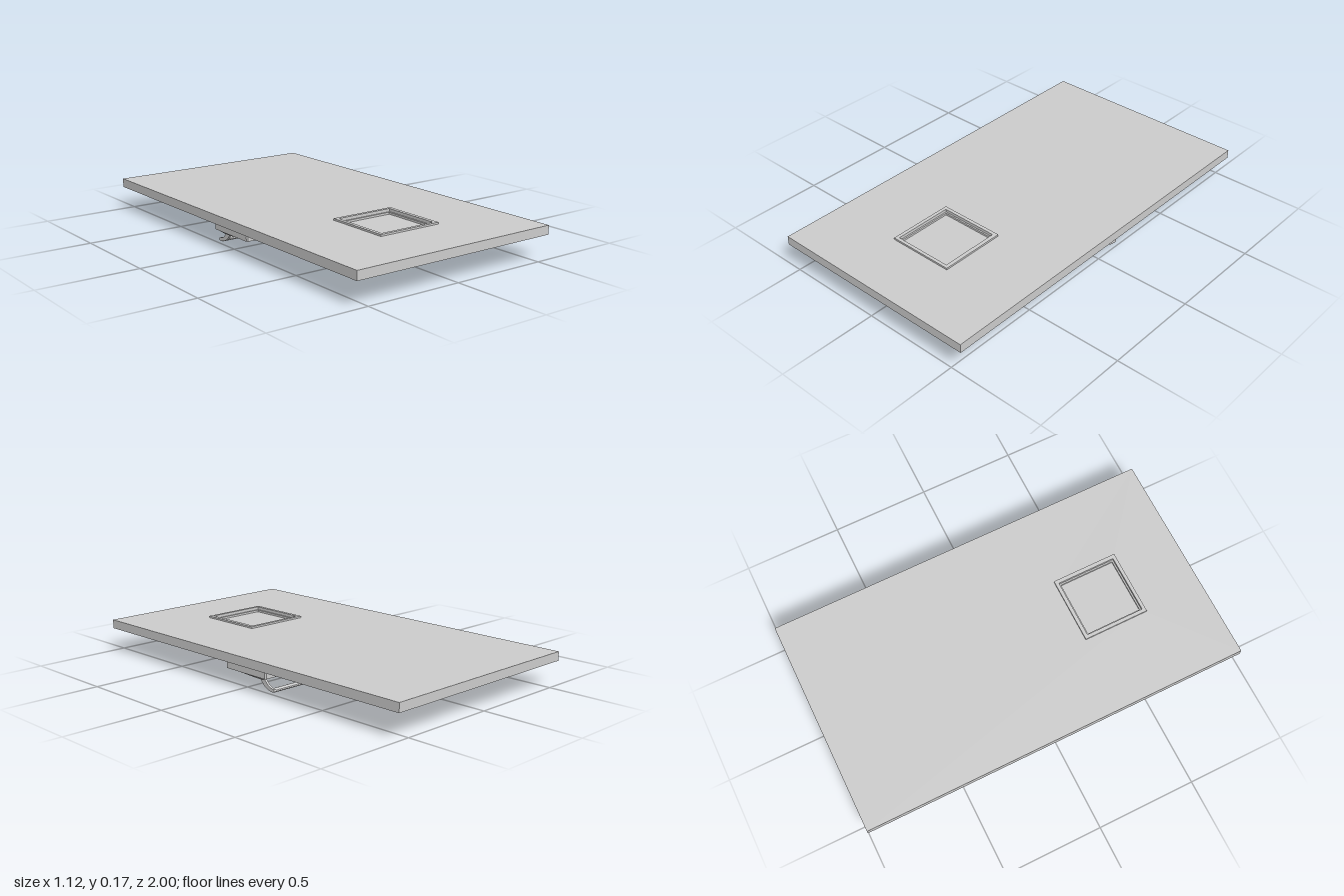
import * as THREE from 'three';

const material = new THREE.MeshStandardMaterial({ color: 0xcccccc, flatShading: true });

function addMesh(parent, geometry, name) {
  const mesh = new THREE.Mesh(geometry, material);
  mesh.name = name;
  parent.add(mesh);
  return mesh;
}

// Rectangle in plan, with optional cut corners
function rectPoints(x0, x1, z0, z1, c = 0) {
  const p = c
    ? [[x0 + c, z0], [x1 - c, z0], [x1, z0 + c], [x1, z1 - c], [x1 - c, z1], [x0 + c, z1], [x0, z1 - c], [x0, z0 + c]]
    : [[x0, z0], [x1, z0], [x1, z1], [x0, z1]];
  return p.map(([x, z]) => new THREE.Vector2(x, z));
}

// Plan shape extruded downwards from yTop to yBottom
function slab(points, hole, yTop, yBottom) {
  const shape = new THREE.Shape(points);
  if (hole) shape.holes.push(new THREE.Path(hole));
  return new THREE.ExtrudeGeometry(shape, { depth: yTop - yBottom, bevelEnabled: false })
    .rotateX(Math.PI / 2).translate(0, yTop, 0);
}

// Block whose lower face is a smaller rectangle
function taperedBlock(top, bottom, yTop, yBottom) {
  const g = new THREE.BoxGeometry(1, 1, 1);
  const p = g.attributes.position;
  for (let i = 0; i < p.count; i++) {
    const up = p.getY(i) > 0;
    const [x0, x1, z0, z1] = up ? top : bottom;
    p.setXYZ(i, p.getX(i) > 0 ? x1 : x0, up ? yTop : yBottom, p.getZ(i) > 0 ? z1 : z0);
  }
  g.computeVertexNormals();
  return g;
}

export function createModel() {
  const model = new THREE.Group();
  model.name = 'door';

  // Door leaf with window opening
  const opening = rectPoints(-0.155, 0.15, 0.363, 0.668);
  addMesh(model, slab(rectPoints(-0.56, 0.56, -1, 1), opening, 0.165, 0.12), 'doorLeaf');

  // Window: raised frame on both faces, inner bead and pane
  const windowGroup = new THREE.Group();
  windowGroup.name = 'window';
  model.add(windowGroup);
  const frame = rectPoints(-0.173, 0.17, 0.345, 0.685);
  const bead = rectPoints(-0.147, 0.142, 0.371, 0.66);
  addMesh(windowGroup, slab(frame, opening, 0.174, 0.111), 'windowFrame');
  addMesh(windowGroup, slab(opening, bead, 0.159, 0.126), 'windowBead');
  addMesh(windowGroup, slab(bead, null, 0.149, 0.136), 'windowPane');

  // Push bar hardware, one bracket and arm per side
  const armShape = new THREE.Shape();
  armShape.moveTo(-0.06, 0.062);
  armShape.bezierCurveTo(-0.08, 0.045, -0.09, 0.004, -0.158, 0.003);
  armShape.quadraticCurveTo(-0.168, 0.01, -0.16, 0.018);
  armShape.bezierCurveTo(-0.115, 0.022, -0.115, 0.045, -0.088, 0.062);
  armShape.closePath();
  for (const side of [-1, 1]) {
    const bracket = new THREE.Group();
    bracket.name = side > 0 ? 'leftBracket' : 'rightBracket';
    model.add(bracket);
    const cx = side * 0.4725;
    const housing = slab(rectPoints(-0.043, 0.043, -0.145, 0.135, 0.006), null, 0.12, 0.071);
    addMesh(bracket, housing, 'bracketHousing').position.x = cx;
    const taper = taperedBlock([-0.043, 0.043, -0.105, 0.035], [-0.02, 0.02, -0.095, -0.055], 0.071, 0.055);
    addMesh(bracket, taper, 'armMount').position.x = cx;
    // Profile lies in the z-y plane, thickness along x
    const arm = new THREE.ExtrudeGeometry(armShape, { depth: 0.012, bevelEnabled: false, curveSegments: 8 })
      .rotateY(-Math.PI / 2).translate(0.006, 0, 0);
    addMesh(bracket, arm, 'barArm').position.x = side * 0.474;
  }

  // Flattened cross bar
  const bar = new THREE.CylinderGeometry(1, 1, 0.95, 10)
    .rotateZ(Math.PI / 2).scale(1, 0.0085, 0.015).rotateX(-0.12).translate(0, 0.0095, -0.147);
  addMesh(model, bar, 'pushBar');

  return model;
}
